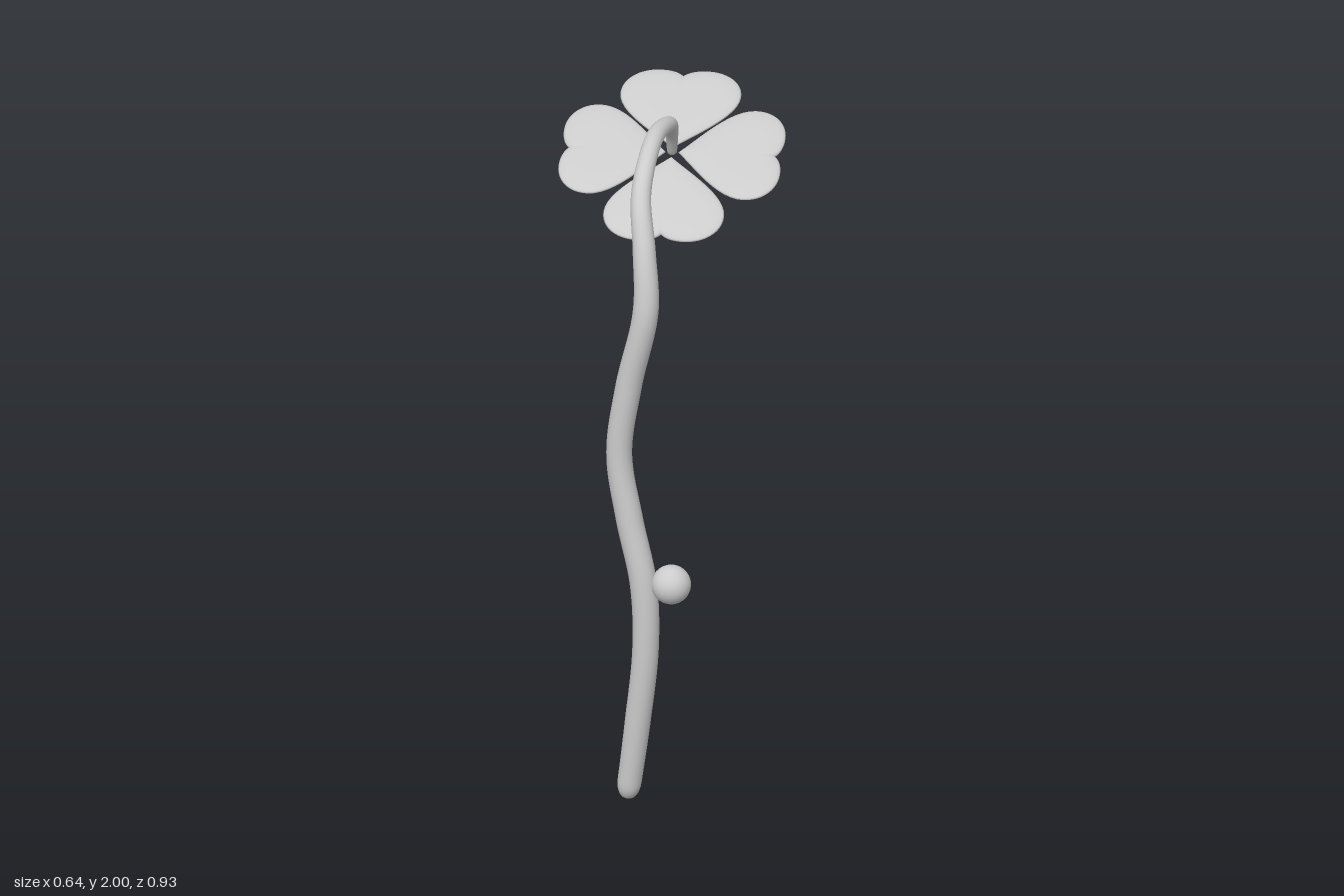
import * as THREE from 'three';
import { mergeVertices } from 'three/addons/utils/BufferGeometryUtils.js';

const material = new THREE.MeshStandardMaterial({ color: 0xcccccc });

function addMesh(parent, geometry, name) {
  const mesh = new THREE.Mesh(geometry, material);
  mesh.name = name;
  parent.add(mesh);
  return mesh;
}

// Winding, tapering stem: a unit tube whose rings are rescaled along the path
function stemGeometry() {
  const stations = [ // x, y, z, radius
    [-0.037, 0.0, 0.39, 0.034], [-0.005, 0.25, 0.403, 0.037], [0.02, 0.5, 0.412, 0.038],
    [0.013, 0.7, 0.41, 0.039], [-0.03, 0.9, 0.397, 0.039], [-0.06, 1.1, 0.391, 0.037],
    [-0.032, 1.32, 0.395, 0.038], [0.019, 1.57, 0.404, 0.037], [0.008, 1.74, 0.365, 0.033],
    [-0.014, 1.87, 0.29, 0.029], [-0.012, 1.945, 0.19, 0.027], [-0.004, 1.972, 0.08, 0.026],
    [0.012, 1.945, -0.04, 0.024], [0.008, 1.885, -0.11, 0.019], [0, 1.79, -0.165, 0.014],
  ];
  const curve = new THREE.CatmullRomCurve3(stations.map(([x, y, z]) => new THREE.Vector3(x, y, z)));
  const segments = 220, sides = 18;
  const geometry = new THREE.TubeGeometry(curve, segments, 1, sides);
  const pos = geometry.attributes.position, v = new THREE.Vector3();
  for (let i = 0; i <= segments; i++) {
    const u = i / segments;
    const t = curve.getUtoTmapping(u) * (stations.length - 1);
    const k = Math.min(Math.floor(t), stations.length - 2);
    let r = THREE.MathUtils.lerp(stations[k][3], stations[k + 1][3], t - k);
    const bottom = Math.min(u / 0.022, 1), top = Math.min((1 - u) / 0.006, 1);
    r *= Math.sqrt(1 - (1 - bottom) ** 2) * Math.sqrt(1 - (1 - top) ** 2);
    const centre = curve.getPointAt(u);
    for (let j = 0; j <= sides; j++) {
      const n = i * (sides + 1) + j;
      v.fromBufferAttribute(pos, n).sub(centre).multiplyScalar(r).add(centre);
      pos.setXYZ(n, v.x, v.y, v.z);
    }
  }
  geometry.deleteAttribute('normal');
  geometry.deleteAttribute('uv');
  const welded = mergeVertices(geometry, 1e-5);
  welded.computeVertexNormals();
  return welded;
}

// Heart-shaped cushion lying in xz, its point at the origin, lobes toward -z
function leafletGeometry() {
  const heart = new THREE.Shape();
  heart.moveTo(0, 0);
  heart.bezierCurveTo(0.06, 0.055, 0.174, 0.13, 0.174, 0.206);
  heart.bezierCurveTo(0.174, 0.265, 0.125, 0.301, 0.07, 0.301);
  heart.bezierCurveTo(0.035, 0.301, 0.012, 0.292, 0, 0.278);
  heart.bezierCurveTo(-0.012, 0.292, -0.035, 0.301, -0.07, 0.301);
  heart.bezierCurveTo(-0.125, 0.301, -0.174, 0.265, -0.174, 0.206);
  heart.bezierCurveTo(-0.174, 0.13, -0.06, 0.055, 0, 0);
  const outline = heart.getPoints(12).slice(0, -1);
  const n = outline.length, middle = 0.185, halfThickness = 0.014;
  const rings = 16, vertices = [], indices = [];
  // Rings run from the centre of the top, round the rim, to the centre underneath
  for (let i = 0; i <= rings; i++) {
    const a = (i / rings) * Math.PI;
    const s = Math.sin(a);
    const y = halfThickness * Math.sign(Math.cos(a)) * Math.sqrt(Math.max(0, 1 - s ** 4));
    for (const p of outline) vertices.push(p.x * s, i === rings / 2 ? 0 : y, -(middle + (p.y - middle) * s));
  }
  for (let i = 0; i < rings; i++) {
    for (let j = 0; j < n; j++) {
      const a = i * n + j, b = i * n + (j + 1) % n, c = a + n, d = b + n;
      if (i > 0) indices.push(a, c, b);
      if (i < rings - 1) indices.push(b, c, d);
    }
  }
  const geometry = new THREE.BufferGeometry();
  geometry.setAttribute('position', new THREE.Float32BufferAttribute(vertices, 3));
  geometry.setIndex(indices);
  const welded = mergeVertices(geometry, 1e-5);
  welded.computeVertexNormals();
  return welded;
}

export function createModel() {
  const model = new THREE.Group();
  model.name = 'cloverSprig';

  addMesh(model, stemGeometry(), 'stem');

  // Small round bud on the side of the stem
  addMesh(model, new THREE.SphereGeometry(0.057, 32, 20), 'bud').position.set(0.094, 0.705, 0.412);

  // Four leaflets around the drooping end of the stem
  const clover = new THREE.Group();
  clover.name = 'cloverLeaf';
  clover.position.set(0, 1.794, -0.163);
  clover.rotation.x = THREE.MathUtils.degToRad(20.5);
  model.add(clover);
  const geometry = leafletGeometry();
  ['backLeaflet', 'rightLeaflet', 'frontLeaflet', 'leftLeaflet'].forEach((name, i) => {
    const arm = new THREE.Group();
    arm.rotation.y = THREE.MathUtils.degToRad(2.5 + 90 * i);
    clover.add(arm);
    const leaflet = addMesh(arm, geometry, name);
    leaflet.position.z = -0.018;
    // The front leaflet droops a little more than the rest
    if (i === 2) leaflet.rotation.x = THREE.MathUtils.degToRad(-6);
  });
  return model;
}
